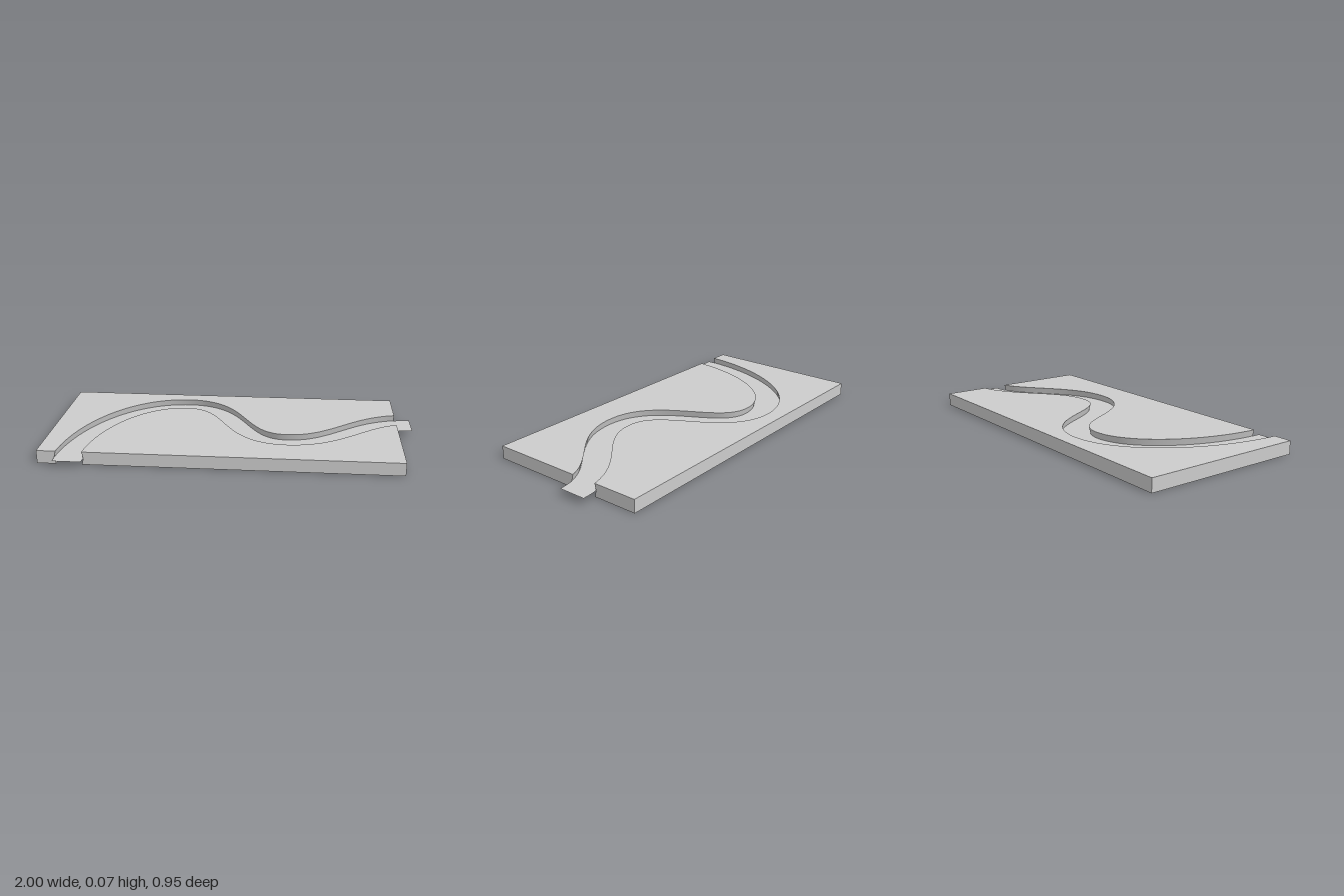
import * as THREE from 'three';
import { toCreasedNormals } from 'three/addons/utils/BufferGeometryUtils.js';

const X0 = -1, X1 = 0.91, Z0 = -0.475, Z1 = 0.428;   // slab outline
const HEIGHT = 0.071, MID = HEIGHT / 2;
const HALF = 0.077, LIP = 0.069;                     // channel half-width at mid height and at the faces
const STEPS = 120;

const grey = () => new THREE.MeshStandardMaterial({ color: 0xcccccc, side: THREE.DoubleSide });

// Winding centre line, 2D coordinates are (x, z)
const v = (x, z) => new THREE.Vector2(x, z);
const path = new THREE.CurvePath();
path.add(new THREE.CubicBezierCurve(v(-0.83, 0.475), v(-0.83, 0.07), v(-0.6, -0.32), v(-0.3, -0.32)));
path.add(new THREE.CubicBezierCurve(v(-0.3, -0.32), v(0.03, -0.32), v(-0.03, 0.175), v(0.3, 0.175)));
path.add(new THREE.CubicBezierCurve(v(0.3, 0.175), v(0.6, 0.175), v(0.7, -0.168), v(1, -0.168)));

// Point beside the centre line; positive offsets lie towards the back
function beside(t, offset) {
  const p = path.getPoint(t), d = path.getTangent(t);
  return v(p.x + d.y * offset, p.y - d.x * offset);
}

// Bisect for the parameter where test() turns from false to true
function crossing(lo, hi, test) {
  for (let i = 0; i < 40; i++) {
    const m = (lo + hi) / 2;
    if (test(m)) hi = m; else lo = m;
  }
  return hi;
}

// Channel edge trimmed to the slab outline
function channelEdge(offset) {
  const a = crossing(0, 0.2, t => beside(t, offset).y < Z1);
  const b = crossing(0.8, 1, t => beside(t, offset).x > X1);
  const pts = [];
  for (let i = 0; i <= STEPS; i++) pts.push(beside(a + (b - a) * i / STEPS, offset));
  return pts;
}

// Half of the slab: three stacked outlines, skinned and capped
function slabHalf(name, side, corners) {
  const levels = [[0, LIP], [MID, HALF], [HEIGHT, LIP]];
  const rings = levels.map(([, w]) => {
    const ring = [...channelEdge(side * w), ...corners].map(p => v(p.x, -p.y));
    return THREE.ShapeUtils.isClockWise(ring) ? ring.reverse() : ring;
  });
  const n = rings[0].length, pos = [], index = [];
  rings.forEach((ring, k) => ring.forEach(p => pos.push(p.x, levels[k][0], -p.y)));
  for (let k = 0; k < 2; k++) {
    for (let i = 0; i < n; i++) {
      const j = (i + 1) % n, a = k * n + i, b = k * n + j;
      index.push(a, b, b + n, a, b + n, a + n);
    }
  }
  for (const [a, b, c] of THREE.ShapeUtils.triangulateShape(rings[0], [])) {
    index.push(a, c, b, a + 2 * n, b + 2 * n, c + 2 * n);
  }
  const geo = new THREE.BufferGeometry();
  geo.setAttribute('position', new THREE.Float32BufferAttribute(pos, 3));
  geo.setIndex(index);
  const mesh = new THREE.Mesh(toCreasedNormals(geo, 0.35), grey());
  mesh.name = name;
  return mesh;
}

// Thin sheet running along the channel at mid height
function ribbon() {
  const pos = [], index = [];
  for (let i = 0; i <= STEPS; i++) {
    for (const s of [1, -1]) {
      const p = beside(i / STEPS, s * HALF);
      pos.push(p.x, MID, p.y);
    }
    if (i < STEPS) {
      const a = 2 * i;
      index.push(a, a + 1, a + 3, a, a + 3, a + 2);
    }
  }
  const geo = new THREE.BufferGeometry();
  geo.setAttribute('position', new THREE.Float32BufferAttribute(pos, 3));
  geo.setIndex(index);
  geo.computeVertexNormals();
  const mesh = new THREE.Mesh(geo, grey());
  mesh.name = 'ribbon';
  return mesh;
}

export function createModel() {
  const group = new THREE.Group();
  group.name = 'slabWithWindingChannel';
  group.add(
    slabHalf('backSlab', 1, [v(X1, Z0), v(X0, Z0), v(X0, Z1)]),
    slabHalf('frontSlab', -1, [v(X1, Z1)]),
    ribbon()
  );
  return group;
}
